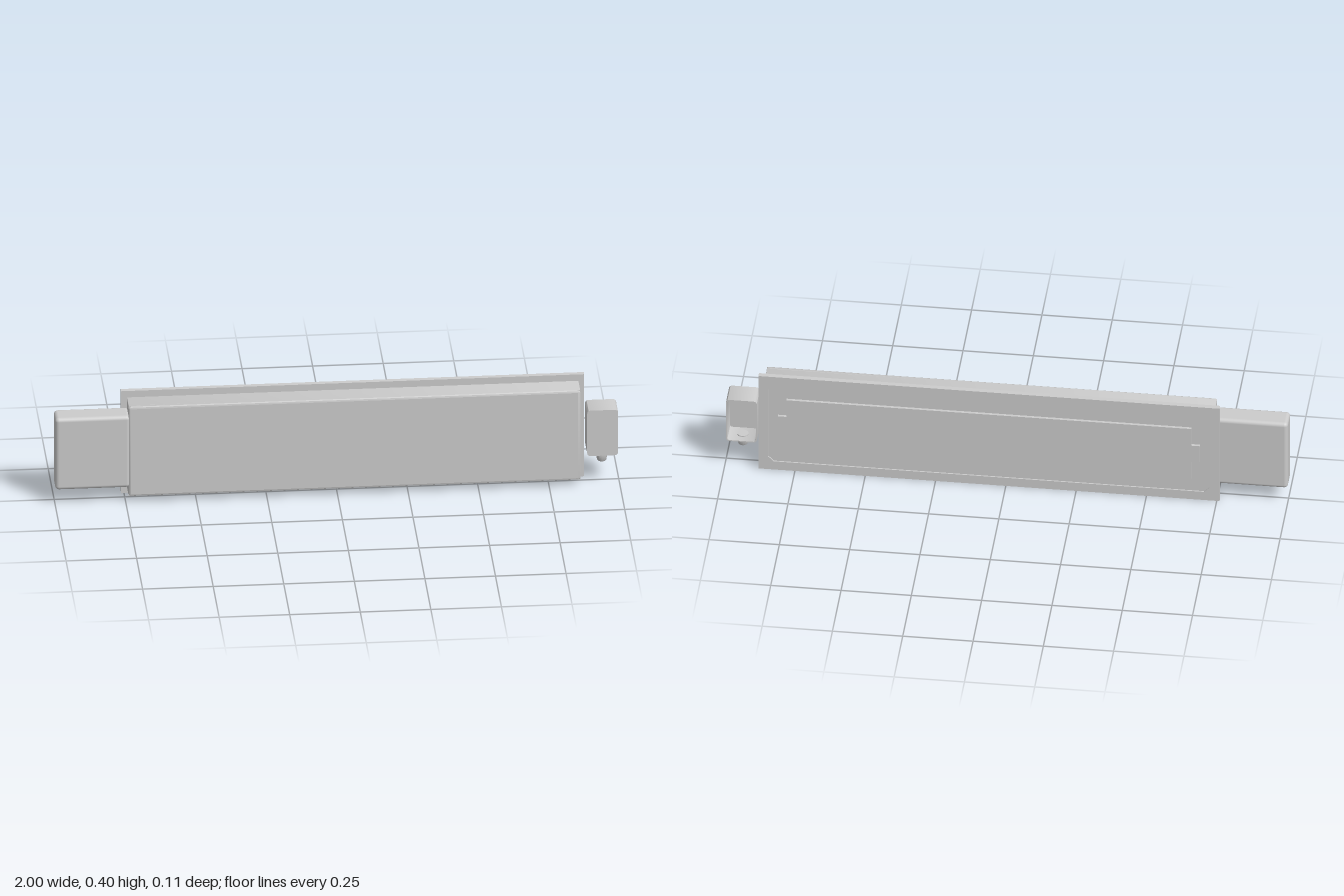
import * as THREE from 'three';
import { toCreasedNormals } from 'three/addons/utils/BufferGeometryUtils.js';
import { RoundedBoxGeometry } from 'three/addons/geometries/RoundedBoxGeometry.js';

const CX = 0.06, CY = 0.2; // centre of the long housing

// Rectangle with rounded corners, centred on (cx, cy)
function roundedRect(Type, cx, cy, w, h, r) {
  const p = new Type(), a = w / 2 - r, b = h / 2 - r;
  p.absarc(cx + a, cy + b, r, 0, Math.PI / 2);
  p.absarc(cx - a, cy + b, r, Math.PI / 2, Math.PI);
  p.absarc(cx - a, cy - b, r, Math.PI, Math.PI * 1.5);
  p.absarc(cx + a, cy - b, r, Math.PI * 1.5, Math.PI * 2);
  p.closePath();
  return p;
}

// Rectangle with cut corners, centred on the housing
function cutRect(Type, w, h, c) {
  const x = w / 2, y = h / 2;
  const pts = [[x, y - c], [x - c, y], [c - x, y], [-x, y - c], [-x, c - y], [c - x, -y], [x - c, -y], [x, c - y]];
  return new Type(pts.map(([px, py]) => new THREE.Vector2(CX + px, CY + py)));
}

export function createModel() {
  const group = new THREE.Group();
  const material = new THREE.MeshStandardMaterial({ color: 0xcccccc });

  const add = (name, geometry, x = 0, y = 0, z = 0) => {
    const mesh = new THREE.Mesh(geometry, material);
    mesh.name = name;
    mesh.position.set(x, y, z);
    group.add(mesh);
  };
  const slab = (name, shape, z0, z1) => {
    const geo = new THREE.ExtrudeGeometry(shape, { depth: z1 - z0, bevelEnabled: false, curveSegments: 6 });
    add(name, toCreasedNormals(geo, 0.6), 0, 0, z0);
  };

  // Long housing with a narrow bevel around the front face
  const bevel = 0.008;
  const bodyShape = roundedRect(THREE.Shape, CX, CY, 1.6 - 2 * bevel, 0.35 - 2 * bevel, 0.002);
  slab('housing', roundedRect(THREE.Shape, CX, CY, 1.6, 0.35, 0.002), -0.03, 0.046);
  const frontGeo = new THREE.ExtrudeGeometry(bodyShape, {
    depth: 0.01, bevelSize: bevel, bevelThickness: 0.006, bevelSegments: 2, curveSegments: 3,
  });
  add('frontPanel', toCreasedNormals(frontGeo, 0.3), 0, 0, 0.036);

  // Rear flange: a frame around a slightly recessed back plate
  const frame = new THREE.Shape();
  frame.moveTo(-0.76, 0).lineTo(0.88, 0).lineTo(0.88, 0.4).lineTo(-0.76, 0.4).closePath();
  frame.holes.push(cutRect(THREE.Path, 1.57, 0.33, 0.02));
  slab('rearFlange', frame, -0.048, -0.03);
  slab('backPlate', cutRect(THREE.Shape, 1.57, 0.33, 0.02), -0.043, -0.03);

  // Rear cover with a tab at each end
  const half = [[0.72, -0.107], [0.72, -0.035], [0.75, -0.035], [0.75, 0.035], [0.72, 0.035], [0.72, 0.107]];
  const outline = [...half, ...half.map(([x, y]) => [-x, -y])];
  slab('rearCover', new THREE.Shape(outline.map(([x, y]) => new THREE.Vector2(CX + x, CY + y))), -0.053, -0.042);

  // Block at the right end
  add('endBlock', new RoundedBoxGeometry(0.265, 0.28, 0.084, 4, 0.014), -0.8675, 0.2, 0.012);

  // Small box at the left end, open at the back
  const shell = roundedRect(THREE.Shape, 0.94, 0.2, 0.11, 0.178, 0.012);
  shell.holes.push(roundedRect(THREE.Path, 0.94, 0.2, 0.102, 0.17, 0.009));
  slab('smallBoxWalls', shell, -0.05, 0.036);
  slab('smallBoxFront', roundedRect(THREE.Shape, 0.94, 0.2, 0.11, 0.178, 0.012), 0.032, 0.038);

  // Tapered nub below the small box
  const nub = [[0, 0.075], [0.015, 0.075], [0.017, 0.078], [0.02, 0.1], [0.02, 0.118], [0, 0.118]];
  const nubGeo = new THREE.LatheGeometry(nub.map(([x, y]) => new THREE.Vector2(x, y)), 24);
  add('nub', toCreasedNormals(nubGeo, 0.6), 0.94, 0, -0.005);

  return group;
}
